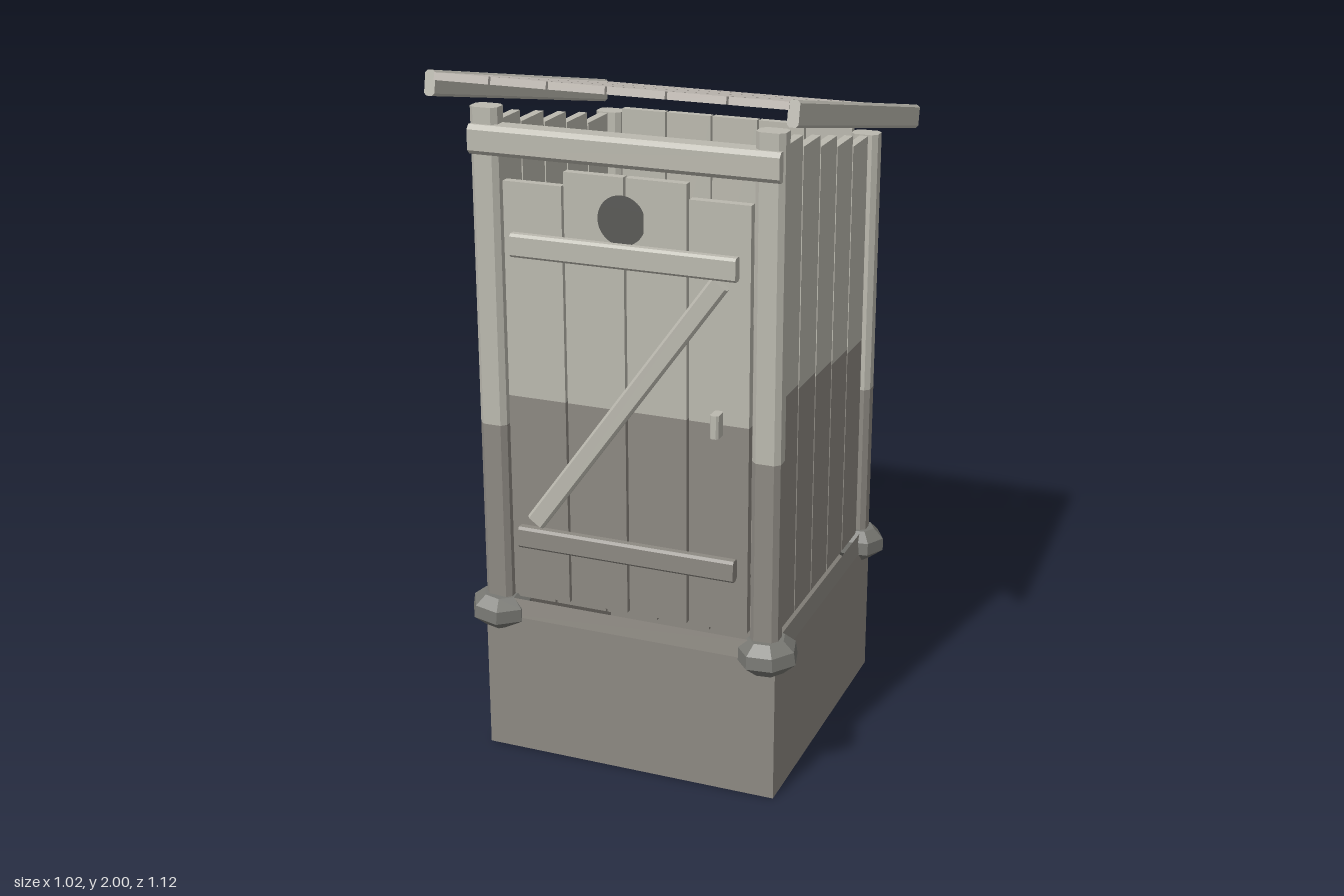
import * as THREE from 'three';

const mat = (name, color, side = THREE.FrontSide) =>
  Object.assign(new THREE.MeshStandardMaterial({ color, side }), { name });

export function createModel() {
  const root = new THREE.Group();
  root.name = 'woodenOuthouse';
  const light = mat('weatheredWood', 0xbbb9af);
  const dark = mat('dampWood', 0x8d8982);
  const roofWood = mat('roofWood', 0xc1bbb4);
  const base = mat('pitWall', 0x8d8982, THREE.DoubleSide);
  const stone = mat('stone', 0x787873);
  const shade = mat('moonHole', 0x5a5a57, THREE.DoubleSide);

  const add = (name, geo, m, x, y, z, parent = root) => {
    const mesh = new THREE.Mesh(geo, m);
    mesh.name = name;
    mesh.position.set(x, y, z);
    parent.add(mesh);
    return mesh;
  };
  const flat = (geo) => {
    const g = geo.index ? geo.toNonIndexed() : geo;
    g.computeVertexNormals();
    return g;
  };

  // Bar of length len along z with chamfered long edges
  const bar = (w, h, len, c) => {
    const a = w / 2, b = h / 2;
    const s = new THREE.Shape([[-a + c, -b], [a - c, -b], [a, -b + c], [a, b - c],
      [a - c, b], [-a + c, b], [-a, b - c], [-a, -b + c]].map((p) => new THREE.Vector2(...p)));
    return new THREE.ExtrudeGeometry(s, { depth: len, bevelEnabled: false }).translate(0, 0, -len / 2);
  };
  const upright = (w, d, len, c) => bar(w, d, len, c).rotateX(-Math.PI / 2);
  const across = (len, h, d, c) => bar(d, h, len, c).rotateY(Math.PI / 2);

  // Upright board, damp below the split height
  const board = (name, w, d, x, z, y0, split, y1) => {
    const g = new THREE.Group();
    g.name = name;
    add('lowerPart', new THREE.BoxGeometry(w, split - y0, d), dark, x, (y0 + split) / 2, z, g);
    add('upperPart', new THREE.BoxGeometry(w, y1 - split, d), light, x, (y1 + split) / 2, z, g);
    root.add(g);
  };

  // Square open pit wall with a slightly inset rim
  const ring = (name, top, bottom, y0, y1) => {
    const g = new THREE.CylinderGeometry(top * Math.SQRT2, bottom * Math.SQRT2, y1 - y0, 4, 1, true);
    add(name, flat(g.rotateY(Math.PI / 4)), base, 0, (y0 + y1) / 2, 0.0175);
  };
  ring('pitWall', 0.4375, 0.4375, 0, 0.42);
  ring('pitRim', 0.43, 0.4375, 0.42, 0.475);

  // Floorboards
  for (let i = 0; i < 5; i++) {
    add('floorboard', new THREE.BoxGeometry(0.15, 0.02, 0.8), dark, (i - 2) * 0.156, 0.479, 0.018);
  }

  // Corner posts and footing stones
  const stoneProfile = [[0, -0.055], [0.05, -0.055], [0.092, -0.018], [0.088, 0.022], [0.055, 0.052], [0, 0.052]]
    .map((p) => new THREE.Vector2(...p));
  for (const sx of [-1, 1]) {
    for (const [z, top, split] of [[0.425, 1.89, 1.0], [-0.388, 1.71, 0.935]]) {
      const x = sx * 0.4;
      const low = split - 0.44;
      add('postLower', upright(0.08, 0.062, low, 0.014), dark, x, 0.44 + low / 2, z);
      add('postUpper', upright(0.08, 0.062, top - split, 0.014), light, x, (top + split) / 2, z);
      const rock = add('footingStone', flat(new THREE.LatheGeometry(stoneProfile, 7)), stone,
        sx * 0.405, 0.433, z > 0 ? 0.424 : -0.388);
      rock.rotation.set(z > 0 ? 0.06 : -0.05, sx + z * 3, -0.07);
      rock.scale.set(0.95, 0.92, 0.95);
    }
  }

  // Side and back walls
  for (let i = 0; i < 5; i++) {
    const z = 0.311 - i * 0.1463;
    for (const sx of [-1, 1]) {
      board('sideBoard', 0.025, 0.139, sx * 0.405, z, 0.475, 1.155 - i * 0.014, 1.84 - i * 0.0325);
    }
    board('backBoard', 0.139, 0.025, (i - 2) * 0.145, -0.39, 0.475, 1.09, 1.72);
  }

  // Door
  for (let i = 0; i < 4; i++) {
    const inner = i === 1 || i === 2;
    board('doorBoard', 0.17, 0.025, (i - 1.5) * 0.177, 0.43, 0.49, 1.09, inner ? 1.735 : 1.695);
  }
  add('doorTopBatten', across(0.64, 0.065, 0.032, 0.007), light, 0, 1.5275, 0.459);
  add('doorBottomBatten', across(0.64, 0.063, 0.032, 0.007), dark, 0, 0.68, 0.459);
  const brace = add('doorBrace', across(0.93, 0.055, 0.026, 0.007), light, 0, 1.107, 0.455);
  brace.rotation.z = Math.atan2(0.75, 0.54);
  add('doorHandle', upright(0.025, 0.045, 0.065, 0.006), light, 0.268, 1.098, 0.467);

  // Clipped round opening painted on the door
  const moon = new THREE.Shape();
  moon.absarc(-0.008, 1.62, 0.068, 0.42, Math.PI * 2 - 0.42, false);
  add('doorMoon', new THREE.ShapeGeometry(moon, 20), shade, 0, 0, 0.445);

  // Header beam over the door
  add('headerBeam', across(0.87, 0.08, 0.075, 0.012), light, 0, 1.805, 0.438);

  // Sloping roof with edge boards
  const roof = new THREE.Group();
  roof.name = 'roof';
  roof.position.set(0, 1.849, 0.0025);
  roof.rotation.x = -0.21;
  root.add(roof);
  for (let i = 0; i < 6; i++) {
    add('roofBoard', new THREE.BoxGeometry(0.156, 0.02, 1.13), roofWood, (i - 2.5) * 0.162, 0.018, 0, roof);
  }
  for (const sx of [-1, 1]) {
    add('roofEdgeBoard', bar(0.03, 0.067, 1.125, 0.007), light, sx * 0.495, 0, 0, roof);
  }
  return root;
}
